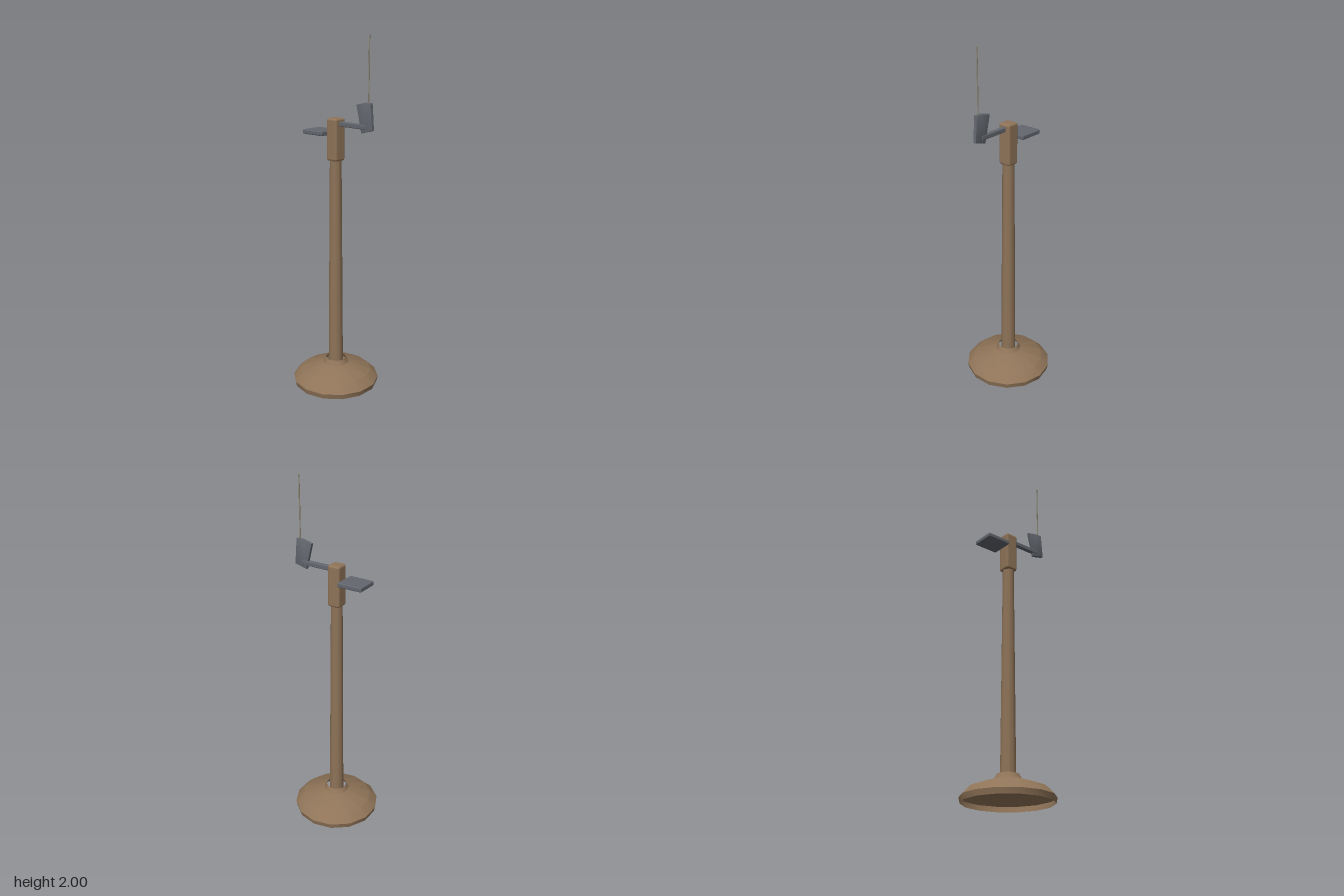
import * as THREE from 'three';
import { toCreasedNormals } from 'three/addons/utils/BufferGeometryUtils.js';
import { RoundedBoxGeometry } from 'three/addons/geometries/RoundedBoxGeometry.js';

export function createModel() {
  const group = new THREE.Group();
  const brown = new THREE.MeshStandardMaterial({ color: 0x8f7458 });
  const brownOpen = new THREE.MeshStandardMaterial({ color: 0x8f7458, side: THREE.DoubleSide });
  const grey = new THREE.MeshStandardMaterial({ color: 0x63676e });
  const wire = new THREE.MeshStandardMaterial({ color: 0x8c8672 });
  const axisX = -0.013; // post axis

  const add = (name, geometry, material, x = 0, y = 0, z = 0) => {
    const mesh = new THREE.Mesh(geometry, material);
    mesh.name = name;
    mesh.position.set(x, y, z);
    group.add(mesh);
    return mesh;
  };
  const box = (name, material, [x0, x1], [y0, y1], depth, radius) => add(
    name, new RoundedBoxGeometry(x1 - x0, y1 - y0, depth, 2, radius),
    material, (x0 + x1) / 2, (y0 + y1) / 2);

  // Hollow, open-bottomed foot with a collar around the post
  const profile = [[0.243, 0], [0.25, 0.03], [0.205, 0.075], [0.073, 0.12], [0.058, 0.147]]
    .map(([r, y]) => new THREE.Vector2(r, y));
  add('base', toCreasedNormals(new THREE.LatheGeometry(profile, 14), 0.5), brownOpen, axisX);

  // Tapered post and its square head
  add('post', new THREE.CylinderGeometry(0.033, 0.043, 1.23, 10), brown, axisX, 0.725);
  box('head', brown, [-0.05, 0.024], [1.327, 1.56], 0.074, 0.012);

  // Flat plate on the right, arm on the left
  box('plate', grey, [-0.203, -0.057], [1.462, 1.487], 0.13, 0.006);
  box('arm', grey, [0.01, 0.205], [1.518, 1.544], 0.025, 0.005);

  // Tilted bevelled paddle at the end of the arm
  const b = 0.004;
  const outline = new THREE.Shape([[0.146, 1.642], [0.205, 1.656], [0.236, 1.655], [0.247, 1.519], [0.18, 1.502]]
    .reverse().map(([x, y]) => new THREE.Vector2(x, y)));
  const paddle = new THREE.ExtrudeGeometry(outline, {
    depth: 0.012, bevelEnabled: true, bevelThickness: b, bevelSize: b, bevelSegments: 2,
  });
  paddle.translate(0, 0, -0.006);
  add('paddle', toCreasedNormals(paddle, 0.6), grey);

  // Thin upright rod
  add('rod', new THREE.CylinderGeometry(0.0035, 0.0035, 0.37, 6), wire, 0.22, 1.815);

  return group;
}
